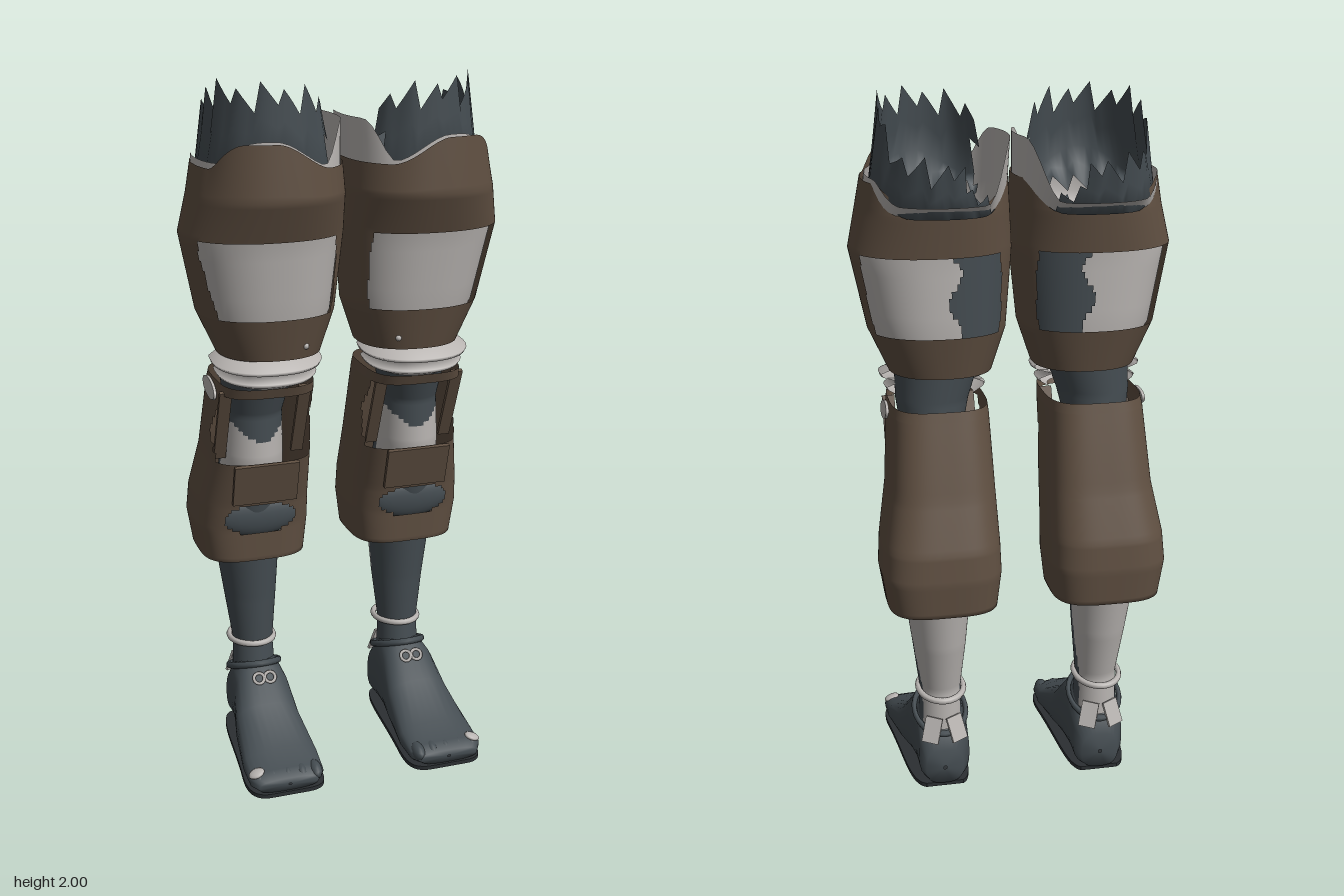
import * as THREE from 'three';

const mat = (name, color) => {
  const m = new THREE.MeshStandardMaterial({ color, side: THREE.DoubleSide });
  m.name = name;
  return m;
};
const brown = mat('brown leather', 0x5f4f41);
const slate = mat('slate cloth', 0x444c51);
const pale = mat('pale cloth', 0xb9b5b2);
const black = mat('dark sole', 0x2b2f32);

// Loft through rings [y, x0, x1, z0, z1]; y may be a function of (x, z, column).
// pick(x, y, z) chooses the material of each face, or null for a hole.
function loft(name, rings, pick, { n = 64, p = 2.3, sub = 1 } = {}) {
  const key = rings.map(([y, x0, x1, z0, z1]) => {
    const row = [];
    for (let k = 0; k < n; k++) {
      const c = Math.cos((k / n) * Math.PI * 2), s = Math.sin((k / n) * Math.PI * 2);
      const r = (Math.abs(c) ** p + Math.abs(s) ** p) ** (-1 / p);
      const x = (x0 + x1) / 2 + ((x1 - x0) / 2) * r * c;
      const z = (z0 + z1) / 2 + ((z1 - z0) / 2) * r * s;
      row.push(new THREE.Vector3(x, typeof y === 'function' ? y(x, z, k) : y, z));
    }
    return row;
  });
  const rows = [key[0]];
  for (let r = 1; r < key.length; r++) {
    for (let s = 1; s <= sub; s++) rows.push(key[r].map((v, k) => key[r - 1][k].clone().lerp(v, s / sub)));
  }
  const buckets = new Map();
  const mid = new THREE.Vector3();
  for (let r = 0; r + 1 < rows.length; r++) {
    for (let k = 0; k < n; k++) {
      const j = (k + 1) % n;
      mid.copy(rows[r][k]).add(rows[r][j]).add(rows[r + 1][k]).add(rows[r + 1][j]).multiplyScalar(0.25);
      const m = pick(mid.x, mid.y, mid.z);
      if (!m) continue;
      if (!buckets.has(m)) buckets.set(m, []);
      const a = r * n + k, b = r * n + j, c = a + n, d = b + n;
      // rings run from top to bottom
      buckets.get(m).push(a, b, c, b, d, c);
    }
  }
  const geo = new THREE.BufferGeometry().setFromPoints(rows.flat());
  const index = [], mats = [];
  for (const [m, list] of buckets) {
    geo.addGroup(index.length, list.length, mats.length);
    index.push(...list);
    mats.push(m);
  }
  geo.setIndex(index);
  geo.computeVertexNormals();
  const mesh = new THREE.Mesh(geo, mats);
  mesh.name = name;
  return mesh;
}

function part(name, geo, material, pos, rot = [0, 0, 0], scale = [1, 1, 1]) {
  const mesh = new THREE.Mesh(geo, material);
  mesh.name = name;
  mesh.position.set(...pos);
  mesh.rotation.set(...rot);
  mesh.scale.set(...scale);
  return mesh;
}

const ramp = (v, a, b) => THREE.MathUtils.smoothstep(v, a, b);
// upper edge of the thigh guard: peaks in front, dips at the back and inside
const hem = (x, z) => 1.77 + 0.07 * ramp(z, 0.12, 0.22) * ramp(x, 0.08, 0.24) - 0.06 * ramp(-z, 0.1, 0.2);
// front and back windows of the thigh guard, with rounded corners
const inWindow = (x, y, z) => {
  const corner = 0.02 * (Math.abs(y - 1.47) / 0.11) ** 10;
  return y > 1.36 && y < 1.58 && x > 0.05 + corner && (z > 0.103 + corner || z < -0.083 - corner);
};

function makeLeg() {
  const leg = new THREE.Group();

  // thigh guard
  leg.add(loft('thighGuard', [
    [hem, 0.01, 0.41, -0.2, 0.24],
    [1.69, 0.004, 0.425, -0.2, 0.25],
    [1.58, 0, 0.45, -0.187, 0.205],
    [1.36, 0.02, 0.405, -0.182, 0.167],
    [1.24, 0.06, 0.35, -0.155, 0.137],
  ], (x, y, z) => (inWindow(x, y, z) ? null : brown), { n: 200, sub: 8 }));
  leg.add(part('stud', new THREE.SphereGeometry(0.009, 10, 6), pale, [0.135, 1.275, 0.133]));

  // cloth beneath, closed at the bottom
  leg.add(loft('thighLining', [
    [(x, z) => hem(x, z) + 0.013 - 0.008 * ramp(z, 0.12, 0.2) + 0.1 * ramp(-x, -0.1, -0.03), 0.01, 0.4, -0.238, 0.225],
    [1.68, 0.015, 0.41, -0.19, 0.235],
    [1.58, 0.012, 0.437, -0.175, 0.193],
    [1.36, 0.032, 0.392, -0.17, 0.155],
    [1.27, 0.065, 0.345, -0.15, 0.13],
    [1.265, 0.2, 0.21, -0.01, 0],
  ], (x, y, z) => (x < 0.085 && y > 1.27 && y < 1.42 && z > -0.04 && z < 0.07 ? slate : pale), { sub: 4 }));

  // dark cloth patch in the back window
  leg.add(loft('backPatch', [
    [1.585, 0.006, 0.443, -0.18, 0.199],
    [1.355, 0.026, 0.397, -0.175, 0.16],
  ], (x, y, z) => (z < -0.05 && x < 0.185 + 0.02 * Math.sin(y * 40) ? slate : null), { n: 160, sub: 12 }));

  // torn cloth edge around the outside of the thigh, tucked inside the lining
  const torn = (x, z, k) => 1.995 - 0.14 * ramp(-z, -0.02, 0.24) - 0.03 * ramp(-x, -0.2, -0.08)
    - 0.02 * (k % 4) - (k % 8 < 4 ? 0.02 : 0);
  leg.add(loft('tornCloth', [
    [torn, 0.06, 0.36, -0.245, 0.2],
    [(x, z) => hem(x, z) - 0.02, 0.025, 0.39, -0.222, 0.205],
    [(x, z, k) => 1.69 + 0.015 * (k % 4), 0.045, 0.358, -0.165, 0.158],
  ], (x, y, z) => (x < (z < 0 ? 0.07 + Math.min(y - 1.69, 0.12) : 0.075) ? null : slate), { sub: 2 }));

  // folded knee wrap
  const folds = [[1.243, 0.045], [1.222, 0], [1.212, 0.004], [1.2, 0.05], [1.184, 0.014], [1.174, 0.02], [1.158, 0.05]];
  leg.add(loft('kneeWrap', folds.map(([y, d]) => [
    (x, z) => y + 0.08 * (0.05 - z), 0.062 + d, 0.375 - d, -0.13, 0.16 - d,
  ]), (x, y, z) => (z > -0.035 ? pale : null)));

  // knee, calf and ankle
  leg.add(loft('lowerLeg', [
    [1.262, 0.095, 0.335, -0.148, 0.105],
    [1.16, 0.13, 0.335, -0.145, 0.075],
    [1.05, 0.155, 0.32, -0.15, 0.035],
    [0.92, 0.15, 0.33, -0.18, 0.035],
    [0.75, 0.145, 0.34, -0.24, 0.008],
    [0.6, 0.148, 0.336, -0.25, -0.03],
    [0.45, 0.16, 0.315, -0.22, -0.045],
    [0.3, 0.175, 0.295, -0.18, -0.055],
    [0.18, 0.17, 0.3, -0.18, -0.04],
  ], (x, y, z) => {
    const knee = y < 0.975 + 9 * (x - 0.235) ** 2 && y > 0.88 && z > -0.08;
    const calf = y < 0.66 && z < -0.145;
    return knee || calf ? pale : slate;
  }, { n: 72, p: 2, sub: 12 }));
  leg.add(part('shinPad', new THREE.SphereGeometry(1, 24, 14), slate,
    [0.237, 0.735, -0.022], [0, 0, 0], [0.125, 0.065, 0.032]));

  // shin guard with openings at the knee and below the front panel, turned in at the bottom
  leg.add(loft('shinGuard', [
    [1.16, 0.085, 0.355, -0.2, 0.13],
    [1.13, 0.082, 0.36, -0.208, 0.118],
    [0.92, 0.075, 0.375, -0.265, 0.06],
    [0.78, 0.07, 0.4, -0.312, 0.02],
    [0.7, 0.068, 0.406, -0.32, 0.005],
    [0.6, 0.08, 0.39, -0.313, 0],
    [0.625, 0.135, 0.345, -0.265, -0.02],
  ], (x, y, z) => {
    const kneeGap = y > 0.92 && y < 1.13 && z > -0.045 + 0.75 * Math.abs(y - 1) && x > 0.08;
    const lowGap = z > -0.08 && ((x - 0.237) / 0.107) ** 2 + ((y - 0.735) / 0.05) ** 2 < 1;
    return kneeGap || lowGap ? null : brown;
  }, { n: 160, p: 3.4, sub: 8 }));
  leg.add(part('shinPanel', new THREE.BoxGeometry(0.19, 0.13, 0.012), brown, [0.23, 0.855, 0.045], [0.28, 0, 0]));
  for (const x of [0.115, 0.345]) {
    leg.add(part('kneeStrap', new THREE.BoxGeometry(0.035, 0.24, 0.012), brown, [x, 1.03, 0.01], [0.4, 0, 0]));
  }
  leg.add(part('sidePatch', new THREE.CylinderGeometry(1, 1, 0.008, 20), pale,
    [0.367, 1.13, -0.04], [0.15, 0, Math.PI / 2 + 0.1], [0.025, 1, 0.065]));

  // foot, lofted from heel to toe as [z, x0, x1, bottom, top]
  const footRings = [
    [-0.2, 0.23, 0.24, 0.06, 0.07],
    [-0.195, 0.18, 0.29, 0.012, 0.12],
    [-0.17, 0.158, 0.308, 0.008, 0.19],
    [-0.1, 0.155, 0.312, 0.008, 0.26],
    [-0.02, 0.15, 0.322, 0.008, 0.24],
    [0.06, 0.142, 0.338, 0.008, 0.16],
    [0.2, 0.13, 0.355, 0.008, 0.085],
    [0.275, 0.135, 0.355, 0.008, 0.065],
    [0.308, 0.16, 0.335, 0.012, 0.05],
    [0.31, 0.24, 0.25, 0.03, 0.035],
  ].map(([z, x0, x1, b, t]) => [z, x0, x1, -t, -b]);
  const foot = loft('foot', footRings, () => slate, { n: 32, p: 2.9 });
  foot.geometry.rotateX(Math.PI / 2);
  foot.geometry.computeVertexNormals();
  leg.add(foot);
  for (let i = 0; i < 5; i++) {
    leg.add(part('toe', new THREE.SphereGeometry(1, 12, 8), slate,
      [0.16 + i * 0.042, 0.042, 0.27 - i * 0.004], [0, 0, 0], [0.021, 0.025, 0.04]));
  }
  leg.add(part('toePatch', new THREE.SphereGeometry(1, 16, 8), pale,
    [0.334, 0.06, 0.27], [0.1, 0, -0.35], [0.024, 0.009, 0.02]));

  // sole
  const outline = new THREE.Shape();
  outline.moveTo(0.18, 0.19);
  outline.lineTo(0.29, 0.19);
  outline.bezierCurveTo(0.34, 0.17, 0.33, 0, 0.356, -0.2);
  outline.bezierCurveTo(0.365, -0.29, 0.34, -0.315, 0.3, -0.315);
  outline.lineTo(0.19, -0.315);
  outline.bezierCurveTo(0.13, -0.315, 0.125, -0.27, 0.13, -0.2);
  outline.bezierCurveTo(0.15, 0, 0.14, 0.17, 0.18, 0.19);
  const soleGeo = new THREE.ExtrudeGeometry(outline, { depth: 0.012, bevelEnabled: false });
  leg.add(part('sole', soleGeo, black, [0, 0, 0], [-Math.PI / 2, 0, 0]));

  // ankle ties and heel flaps
  leg.add(part('ankleCord', new THREE.TorusGeometry(1, 0.13, 8, 28), pale,
    [0.235, 0.3, -0.132], [Math.PI / 2 - 0.08, 0, 0], [0.066, 0.085, 0.07]));
  leg.add(part('ankleStrap', new THREE.TorusGeometry(1, 0.1, 8, 28), slate,
    [0.235, 0.215, -0.11], [Math.PI / 2 - 0.4, 0, 0], [0.076, 0.098, 0.1]));
  for (const s of [-1, 1]) {
    leg.add(part('frontKnot', new THREE.TorusGeometry(0.016, 0.005, 6, 14), pale,
      [0.235 + s * 0.017, 0.222, 0.014], [-0.7, 0, 0]));
    leg.add(part('heelFlap', new THREE.BoxGeometry(0.05, 0.075, 0.008), pale,
      [0.235 + s * 0.036, 0.19, -0.195], [0.35, -s * 0.4, s * 0.25]));
  }
  return leg;
}

export function createModel() {
  const model = new THREE.Group();
  model.name = 'armouredLegs';
  const left = makeLeg();
  left.name = 'leftLeg';
  const right = left.clone();
  right.name = 'rightLeg';
  right.scale.x = -1;
  model.add(left, right);
  return model;
}
